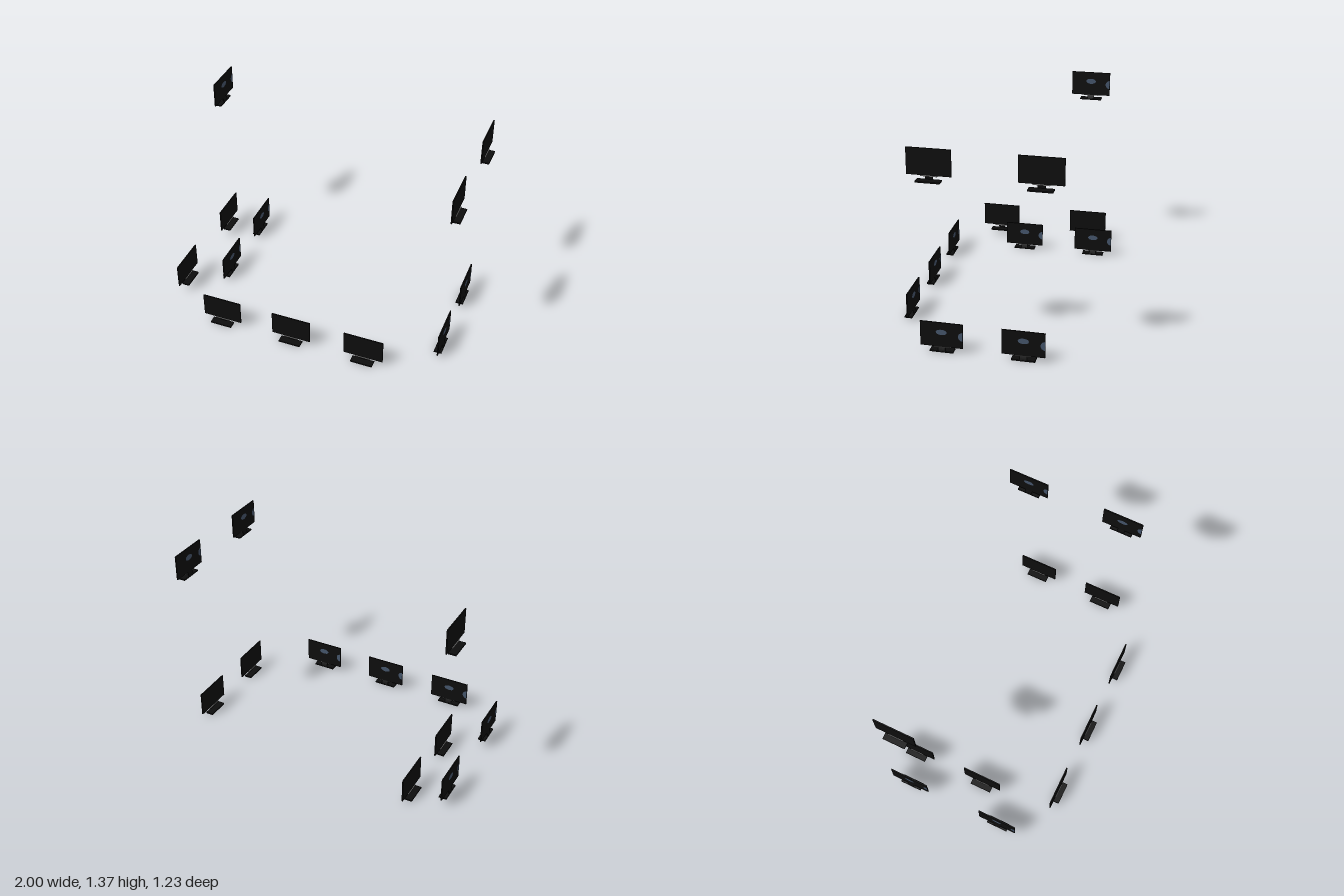
import * as THREE from 'three';

const black = new THREE.MeshStandardMaterial({ color: 0x0d0d0d });
black.name = 'black plastic';
const blue = new THREE.MeshStandardMaterial({ color: 0x44546a });
blue.name = 'slate blue';
const silver = new THREE.MeshStandardMaterial({ color: 0xb4b4b4 });
silver.name = 'silver trim';

function add(group, name, geometry, material, x = 0, y = 0, z = 0) {
  const mesh = new THREE.Mesh(geometry, material);
  mesh.name = name;
  mesh.position.set(x, y, z);
  group.add(mesh);
  return mesh;
}

// One monitor facing +z, standing on y = 0 with its foot centred
function createMonitor() {
  const g = new THREE.Group();
  const panelZ = -0.0145, depth = 0.008;

  add(g, 'foot', new THREE.BoxGeometry(0.155, 0.009, 0.054), black, 0, 0.0045, 0);
  add(g, 'panel', new THREE.BoxGeometry(0.279, 0.171, depth), black, 0, 0.1215, panelZ);

  // Thin neck that curves back down to the rear edge of the foot
  const profile = new THREE.Shape();
  profile.moveTo(-0.026, 0.008);
  profile.quadraticCurveTo(-0.022, 0.024, -0.0165, 0.038);
  profile.lineTo(-0.0125, 0.038);
  profile.quadraticCurveTo(-0.018, 0.024, -0.021, 0.008);
  const neck = new THREE.ExtrudeGeometry(profile, { depth: 0.048, bevelEnabled: false, curveSegments: 5 });
  neck.translate(0, 0, -0.024);
  neck.rotateY(-Math.PI / 2);
  add(g, 'neck', neck, black);

  // Slim trim under the lower edge of the panel
  add(g, 'lowerTrim', new THREE.BoxGeometry(0.105, 0.005, 0.010), silver, 0, 0.0335, -0.011);

  // Rounded patches on the back: one central, one cut off by the side edge
  const backZ = panelZ - depth / 2 - 0.0008;
  const centre = new THREE.CircleGeometry(1, 28).scale(0.036, 0.019, 1).rotateY(Math.PI);
  add(g, 'backPatch', centre, blue, 0, 0.139, backZ);
  const side = new THREE.CircleGeometry(1, 16, Math.PI / 2, Math.PI).scale(0.03, 0.031, 1).rotateY(Math.PI);
  add(g, 'sidePatch', side, blue, -0.139, 0.119, backZ);
  return g;
}

export function createModel() {
  const model = new THREE.Group();
  model.name = 'monitorDisplay';
  const right = -Math.PI / 2, left = Math.PI / 2; // facing -x, facing +x

  // Rows of monitors: name, facing angle, foot positions
  const rows = [
    ['frontMonitor', 0, [[-0.572, 0, 0.586], [-0.054, 0, 0.586], [0.47, 0, 0.586]]],
    ['leftFloorMonitor', right, [[0.9175, 0, 0.24], [0.9175, 0, -0.29]]],
    ['rightFloorMonitor', right, [[-0.7625, 0, 0.053], [-0.7625, 0, -0.476]]],
    ['rightLowMonitor', left, [[-0.973, 0.043, 0.289], [-0.973, 0.043, -0.398]]],
    ['leftHighMonitor', left, [[0.973, 1.165, 0.284], [0.973, 1.165, -0.398]]],
    ['rightHighMonitor', right, [[-0.973, 1.165, -0.398]]],
  ];
  for (const [name, angle, places] of rows) {
    for (const p of places) {
      const monitor = createMonitor();
      monitor.name = name;
      monitor.rotation.y = angle;
      monitor.position.set(...p);
      model.add(monitor);
    }
  }
  return model;
}
